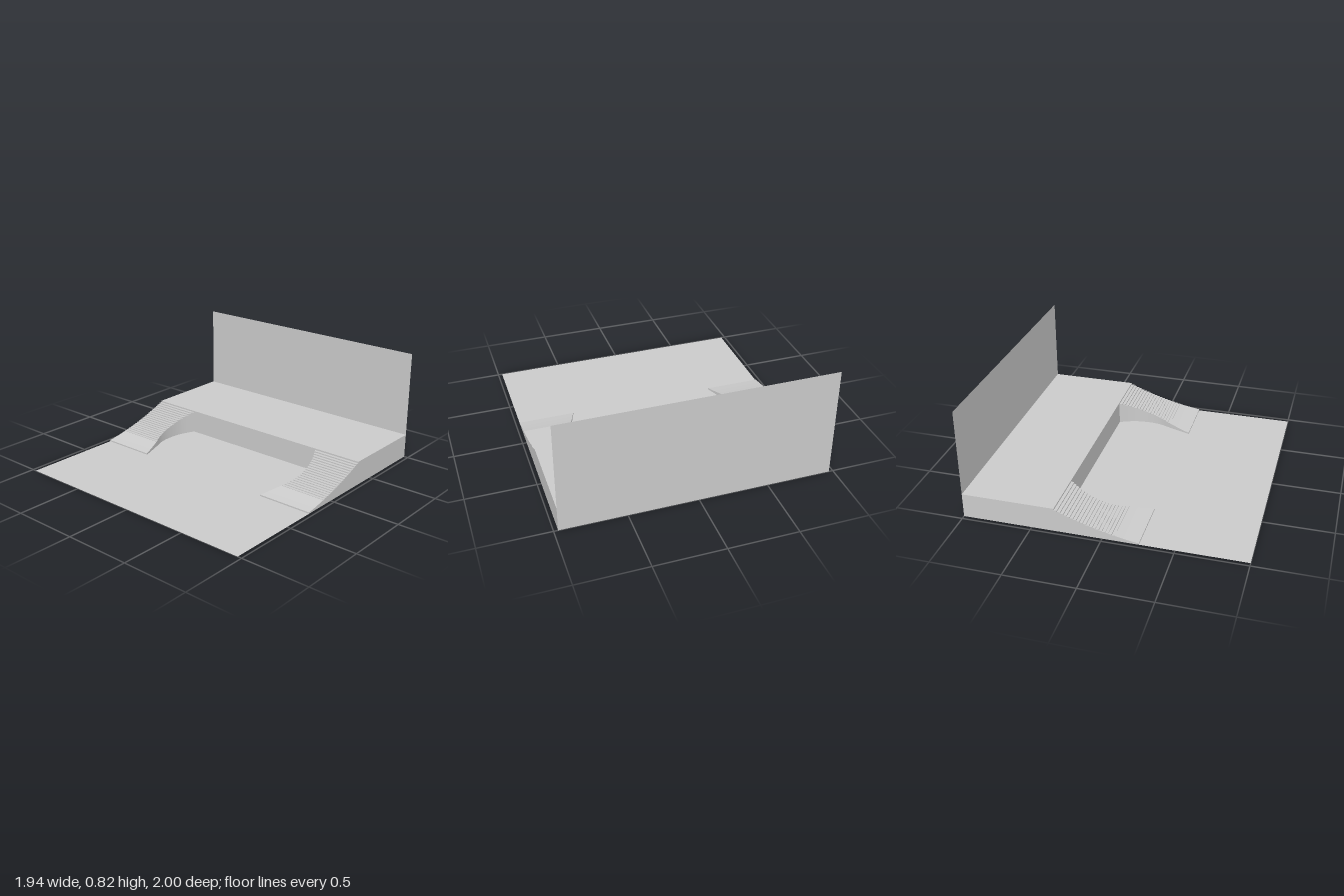
import * as THREE from 'three';
import { toCreasedNormals } from 'three/addons/utils/BufferGeometryUtils.js';

const W = 0.97;          // half width
const EDGE = -0.335;     // front edge of the platform
const TOE = 0.255;       // front end of the stairs
const STEP_START = 0.09; // where the sloping toe turns into steps
const STEPS = 19;

const grey = new THREE.MeshStandardMaterial({ color: 0xcccccc, side: THREE.DoubleSide });

function add(group, name, geometry, x = 0, y = 0, z = 0) {
  const mesh = new THREE.Mesh(geometry, grey);
  mesh.name = name;
  mesh.position.set(x, y, z);
  group.add(mesh);
  return mesh;
}

// Concave rise of the stairs
function rise(z) {
  const t = (TOE - z) / (TOE - EDGE);
  return 0.01 + 0.08 * t + 0.082 * t * t;
}

// Bowed inner edge of the stairs, as x against z
const bow = new THREE.SplineCurve([
  [0.555, 0.255], [0.614, 0.09], [0.648, 0], [0.66, -0.1], [0.646, -0.22], [0.6, -0.335],
].map(p => new THREE.Vector2(...p))).getPoints(120);

function innerX(z) {
  let i = 1;
  while (i < bow.length - 1 && bow[i].y > z) i++;
  const a = bow[i - 1], b = bow[i];
  return THREE.MathUtils.lerp(a.x, b.x, (a.y - z) / (a.y - b.y));
}

// Side profile as [z, y]: lip, sloping toe, then treads and risers
function stairProfile() {
  const points = [[TOE, 0]];
  for (let i = 0; i <= 8; i++) {
    const z = THREE.MathUtils.lerp(TOE, STEP_START, i / 8);
    points.push([z, rise(z)]);
  }
  const tread = (STEP_START - EDGE) / STEPS;
  for (let i = 0; i < STEPS; i++) {
    const z = STEP_START - i * tread;
    const y = rise(z - tread * 0.6);
    points.push([z, y], [z - tread, y]);
  }
  return points;
}

function stairGeometry(side) {
  const positions = [];
  const quad = (...corners) => {
    const c = side > 0 ? corners : corners.reverse();
    for (const k of [0, 1, 2, 0, 2, 3]) positions.push(c[k][0] * side, c[k][1], c[k][2]);
  };
  const profile = stairProfile();
  for (let i = 0; i < profile.length - 1; i++) {
    const [z0, y0] = profile[i], [z1, y1] = profile[i + 1];
    const x0 = innerX(z0), x1 = innerX(z1);
    // tread, riser or slope
    quad([x0, y0, z0], [W, y0, z0], [W, y1, z1], [x1, y1, z1]);
    if (z0 - z1 < 1e-6) continue;
    // curved inner wall and flat outer wall
    quad([x0, 0, z0], [x0, y0, z0], [x1, y1, z1], [x1, 0, z1]);
    quad([W, 0, z0], [W, 0, z1], [W, y1, z1], [W, y0, z0]);
  }
  const geometry = new THREE.BufferGeometry();
  geometry.setAttribute('position', new THREE.Float32BufferAttribute(positions, 3));
  return toCreasedNormals(geometry, 0.4);
}

export function createModel() {
  const group = new THREE.Group();
  group.name = 'steppedStage';

  // Thin ground sheet
  add(group, 'floor', new THREE.PlaneGeometry(2 * W, 2).rotateX(-Math.PI / 2));

  // Raised platform along the back
  const depth = EDGE + 1;
  add(group, 'platform', new THREE.BoxGeometry(2 * W, 0.18, depth), 0, 0.09, -1 + depth / 2);

  // Thin upright wall behind the platform
  add(group, 'backWall', new THREE.PlaneGeometry(2 * W, 0.82), 0, 0.41, -1);

  // Mirrored stairs with bowed inner sides
  add(group, 'leftStairs', stairGeometry(1));
  add(group, 'rightStairs', stairGeometry(-1));

  return group;
}
